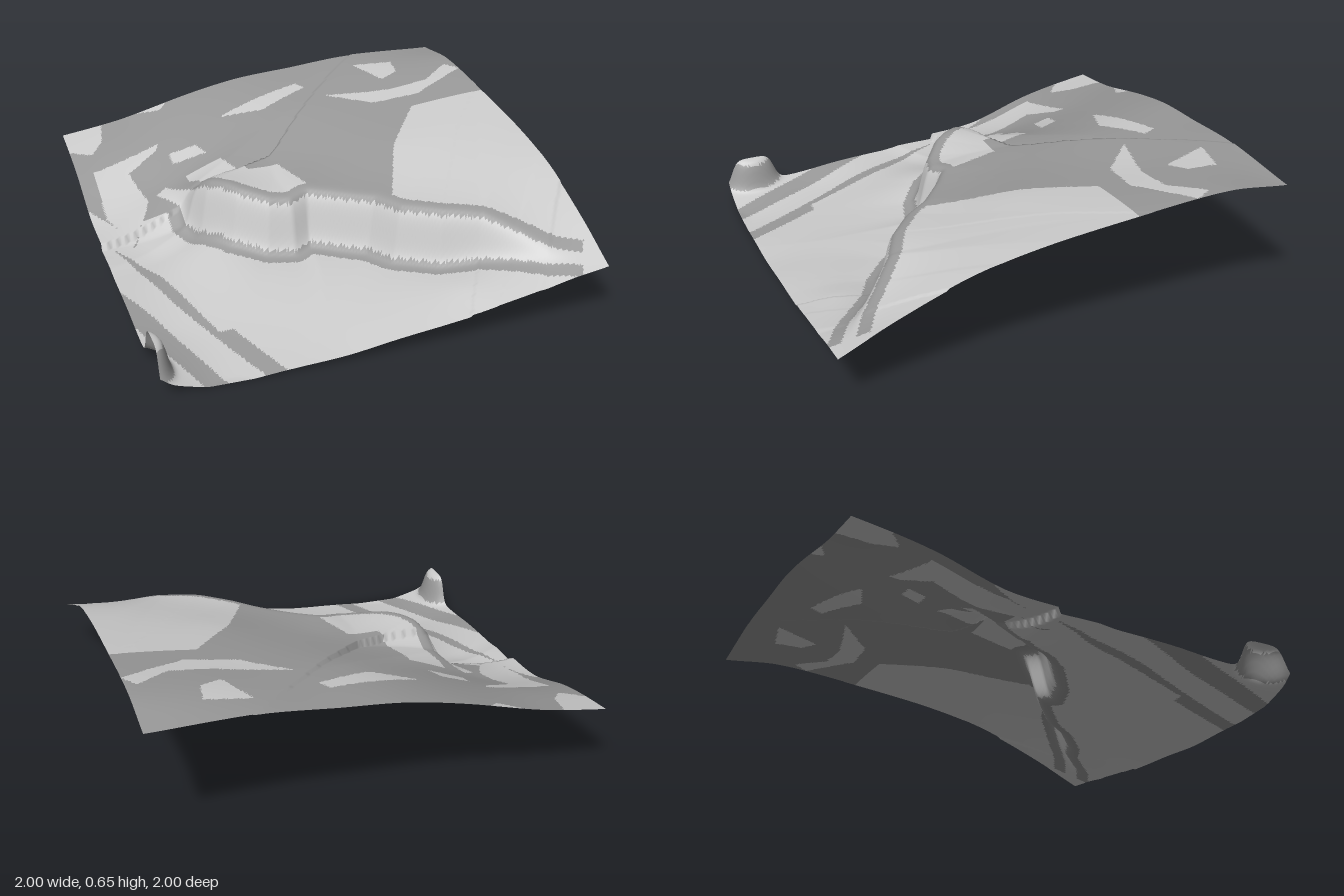
import * as THREE from 'three';

// Line of the cliff, as x, z
const cliffLine = [
  [-0.65, -0.36], [-0.57, -0.21], [-0.57, -0.11], [-0.53, -0.02], [-0.42, 0.11], [-0.29, 0.2],
  [-0.18, 0.23], [-0.1, 0.2], [-0.02, 0.25], [0.14, 0.37], [0.22, 0.48], [0.38, 0.6],
  [0.54, 0.67], [0.66, 0.76], [0.78, 0.86], [0.91, 0.93],
];

// Terrain heights around the border, as x, z, y
const borderHeights = [
  [-1, 1, 0.05], [-0.8, 1, 0], [-0.5, 1, 0.01], [-0.2, 1, 0.03], [0, 1, 0.06], [0.4, 1, 0.12], [0.8, 1, 0.2],
  [1, 1, 0.235], [1, 0.8, 0.335], [1, 0.46, 0.48], [1, 0.1, 0.56], [1, -0.29, 0.61], [1, -0.76, 0.65],
  [1, -1, 0.625], [0.5, -1, 0.625], [0.2, -1, 0.595], [-0.07, -1, 0.57], [-0.4, -1, 0.5], [-0.7, -1, 0.42],
  [-1, -1, 0.37], [-1, -0.6, 0.28], [-1, -0.35, 0.19], [-1, 0, 0.13], [-1, 0.45, 0.09],
];

// Terrain heights inside the border
const innerHeights = [
  [-0.85, 0.6, 0.05], [-0.5, 0.6, 0.07], [0, 0.65, 0.12], [0.4, 0.85, 0.16], [-0.8, 0, 0.13], [-0.7, 0.3, 0.11],
  [-0.48, 0.05, 0.285], [-0.24, 0.21, 0.285], [0.06, 0.31, 0.285], [0.46, 0.635, 0.29], [0.72, 0.81, 0.27],
  [-0.3, -0.1, 0.43], [-0.3, -0.45, 0.42], [-0.68, -0.42, 0.27], [-0.75, -0.7, 0.35], [0, -0.1, 0.45],
  [0, -0.55, 0.52], [0.5, -0.5, 0.575], [0.45, 0, 0.515], [0.65, 0.45, 0.45], [0.3, 0.3, 0.435],
];

// Outlines of bare ground and of the light patches that lie in it
const barePatches = [
  [[-1, -1], [1, -1], [1, -0.3], [0.62, -0.3], [0.4, 0], [0.22, 0.42], [-0.07, 0.2], [-0.5, 0.05],
    [-0.62, -0.2], [-0.78, -0.2], [-0.85, -0.08], [-0.93, -0.28], [-1, -0.4]],
  [[-1, 0.28], [-0.9, 0.5], [-0.72, 1], [-0.82, 1], [-1, 0.55]],
  [[-0.95, -0.1], [-0.8, 0.2], [-0.66, 0.66], [-0.6, 0.66], [-0.47, 1], [-0.56, 1], [-0.8, 0.4]],
];
const lightPatches = [
  [[-0.52, -0.1], [-0.52, -0.38], [-0.35, -0.38], [-0.28, -0.12], [-0.14, -0.12], [-0.07, 0.13], [-0.2, 0.18]],
  [[-0.92, -0.63], [-0.58, -0.69], [-0.6, -0.65], [-0.76, -0.56], [-0.72, -0.33], [-0.78, -0.2], [-0.86, -0.08], [-0.93, -0.3]],
  [[-0.26, -0.7], [0.18, -0.8], [0.21, -0.74], [-0.05, -0.63]],
  [[0.52, -0.86], [0.72, -0.82], [0.7, -0.69], [0.6, -0.64]],
  [[0.27, -0.6], [0.6, -0.52], [0.8, -0.53], [0.95, -0.65], [1, -0.57], [0.7, -0.41], [0.47, -0.43]],
  [[-0.55, -0.59], [-0.42, -0.57], [-0.39, -0.48], [-0.55, -0.51]],
  [[-1, -1], [-0.8, -1], [-0.83, -0.85], [-0.9, -0.76], [-1, -0.83]],
  [[-0.62, -1], [-0.46, -1], [-0.5, -0.95]],
];

function inside(polygon, x, z) {
  let hit = false;
  polygon.forEach(([ax, az], i) => {
    const [bx, bz] = polygon[(i + 1) % polygon.length];
    if (az > z !== bz > z && x < ax + ((z - az) / (bz - az)) * (bx - ax)) hit = !hit;
  });
  return hit;
}

// Signed distance from the cliff (upland positive) and progress along it
function cliffAt(x, z) {
  let best = { d: Infinity, t: 0, side: 1 };
  const n = cliffLine.length - 1;
  for (let i = 0; i < n; i++) {
    const [ax, az] = cliffLine[i];
    const dx = cliffLine[i + 1][0] - ax, dz = cliffLine[i + 1][1] - az;
    const k = THREE.MathUtils.clamp(((x - ax) * dx + (z - az) * dz) / (dx * dx + dz * dz), 0, 1);
    const d = Math.hypot(x - ax - k * dx, z - az - k * dz);
    if (d < best.d) best = { d, t: (i + k) / n, side: dx * (z - az) - dz * (x - ax) < 0 ? 1 : -1 };
  }
  return best;
}

// Step in height across the cliff, fading out at its two ends
function cliffStep(x, z) {
  const { d, t, side } = cliffAt(x, z);
  const { smoothstep } = THREE.MathUtils;
  const size = 0.13 * smoothstep(t, 0, 0.2) * (1 - smoothstep(t, 0.72, 1));
  return side * size * Math.tanh(d / 0.03) * Math.exp(-d / 0.38);
}

// Small boulder on the front right border
function boulder(x, z) {
  const r = Math.hypot((x + 1.01) / 0.07, (z - 0.87) / 0.11);
  return 0.07 * (1 - Math.tanh((r - 1) / 0.25));
}

// Smooth thin-plate surface through the height points, leaving out the cliff
function makeBase(points) {
  const kernel = (r2) => (r2 > 1e-12 ? 0.5 * r2 * Math.log(r2) : 0);
  const n = points.length, size = n + 3;
  const rows = points.map(([x, z, y], i) => [
    ...points.map(([px, pz]) => kernel((x - px) ** 2 + (z - pz) ** 2) ),
    1, x, z, y - cliffStep(x, z),
  ].map((v, j) => (j === i ? v + 0.002 : v)));
  for (const f of [() => 1, (p) => p[0], (p) => p[1]]) rows.push([...points.map(f), 0, 0, 0, 0]);
  for (let c = 0; c < size; c++) {
    let pivot = c;
    for (let r = c + 1; r < size; r++) if (Math.abs(rows[r][c]) > Math.abs(rows[pivot][c])) pivot = r;
    [rows[c], rows[pivot]] = [rows[pivot], rows[c]];
    for (let r = 0; r < size; r++) {
      if (r === c) continue;
      const f = rows[r][c] / rows[c][c];
      for (let k = c; k <= size; k++) rows[r][k] -= f * rows[c][k];
    }
  }
  const w = rows.map((row, i) => row[size] / row[i]);
  return (x, z) => points.reduce(
    (sum, [px, pz], i) => sum + w[i] * kernel((x - px) ** 2 + (z - pz) ** 2),
    w[n] + w[n + 1] * x + w[n + 2] * z);
}

function isBare(x, z) {
  const { d, t } = cliffAt(x, z);
  if (t > 0 && t < 1 && d < 0.09) return d > 0.03;
  const r = Math.hypot((x + 1.01) / 0.07, (z - 0.87) / 0.11);
  if (r < 1.3) return r > 0.75;
  return barePatches.some((p) => inside(p, x, z)) && !lightPatches.some((p) => inside(p, x, z));
}

export function createModel() {
  const group = new THREE.Group();
  group.name = 'terrain';

  // Height field
  const ground = new THREE.PlaneGeometry(2, 2, 180, 180).rotateX(-Math.PI / 2);
  const base = makeBase([...borderHeights, ...innerHeights]);
  const pos = ground.attributes.position;
  for (let i = 0; i < pos.count; i++) {
    const x = pos.getX(i), z = pos.getZ(i);
    pos.setY(i, Math.max(0, base(x, z) + cliffStep(x, z) + boulder(x, z)));
  }
  ground.computeVertexNormals();

  // Share the faces out between light ground and bare ground
  const light = [], bare = [];
  const index = ground.index.array;
  for (let i = 0; i < index.length; i += 3) {
    const face = [index[i], index[i + 1], index[i + 2]];
    const x = face.reduce((s, v) => s + pos.getX(v), 0) / 3;
    const z = face.reduce((s, v) => s + pos.getZ(v), 0) / 3;
    (isBare(x, z) ? bare : light).push(...face);
  }
  for (const [name, faces, color] of [['lightGround', light, 0xcccccc], ['bareGround', bare, 0x999999]]) {
    const geometry = ground.clone().setIndex(faces);
    const mesh = new THREE.Mesh(geometry, new THREE.MeshStandardMaterial({ color, side: THREE.DoubleSide }));
    mesh.name = name;
    group.add(mesh);
  }
  return group;
}
